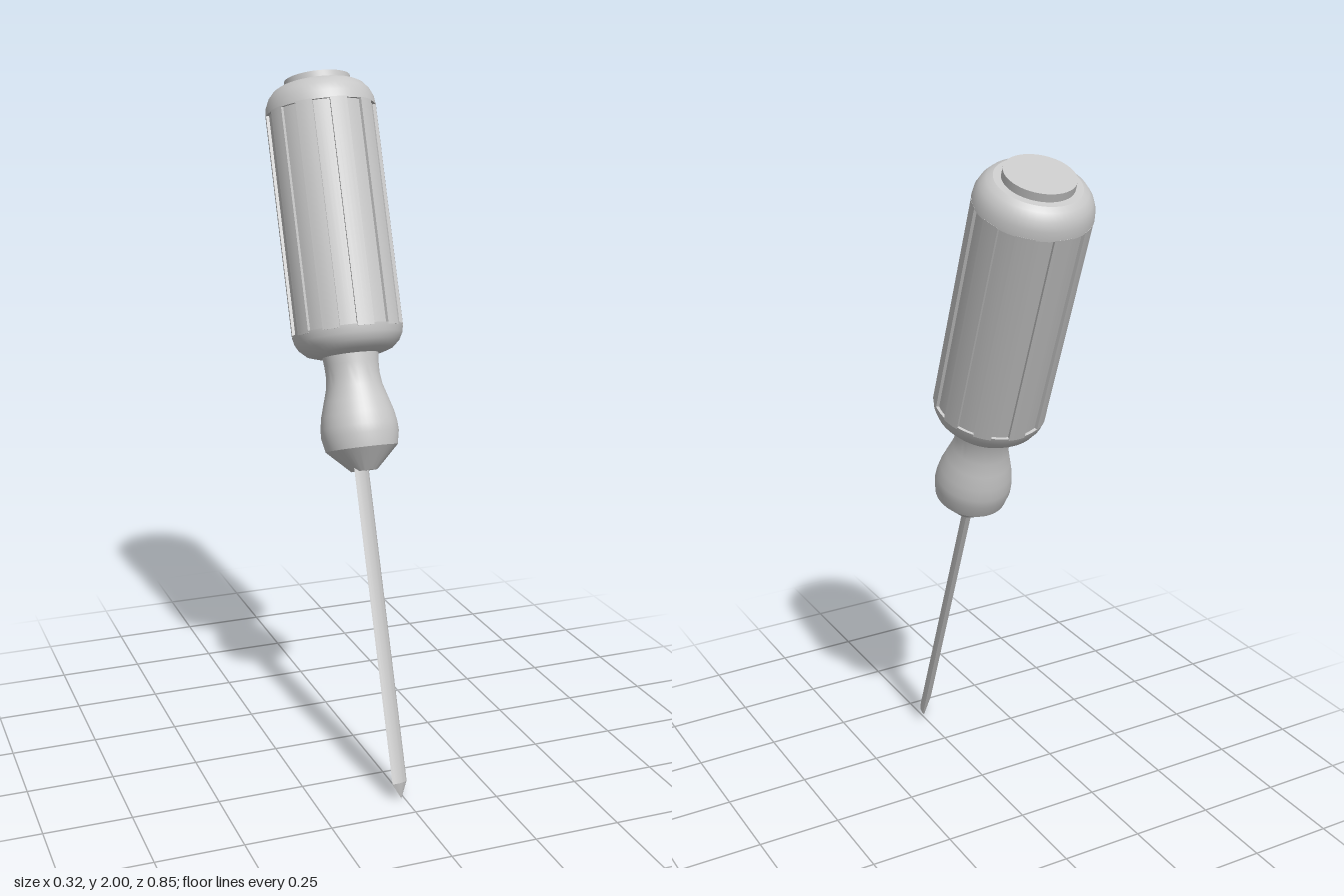
import * as THREE from 'three';
import { toCreasedNormals } from 'three/addons/utils/BufferGeometryUtils.js';

const grey = new THREE.MeshStandardMaterial({ color: 0xc8c8c8 });
grey.name = 'plain grey';

// All parts hang down the tool's axis; depth is measured from the butt of the handle.
function addPart(parent, name, geometry, crease = 0.5) {
  const mesh = new THREE.Mesh(toCreasedNormals(geometry, crease), grey);
  mesh.name = name;
  parent.add(mesh);
}

// Turned part from [radius, depth] pairs listed from top to bottom
function turned(profile) {
  const points = profile.map(([r, d]) => new THREE.Vector2(r, -d)).reverse();
  return new THREE.LatheGeometry(points, 48);
}

// Prism from [x, z] points between two depths
function prism(points, top, bottom) {
  const shape = new THREE.Shape(points.map(([x, z]) => new THREE.Vector2(x, z)));
  const geo = new THREE.ExtrudeGeometry(shape, { depth: bottom - top, bevelEnabled: false });
  return geo.rotateX(Math.PI / 2).translate(0, -top, 0);
}

// Grip section: ten ridges alternating with ten shallow grooves
function gripSection(ridge, groove) {
  const points = [];
  for (let i = 0; i < 20; i++) {
    const r = i % 2 ? groove : ridge;
    for (let k = 0; k <= 4; k++) {
      const a = THREE.MathUtils.degToRad(i * 18 - 9 + k * 4.5);
      points.push([r * Math.sin(a), r * Math.cos(a)]);
    }
  }
  return points;
}

// Blade section: flat back, gently rounded face, turned 45 degrees
function bladeSection(halfWidth, rise) {
  const R = (halfWidth ** 2 + rise ** 2) / (2 * rise);
  const sweep = Math.asin(halfWidth / R);
  const points = [];
  for (let i = 0; i <= 12; i++) {
    const a = sweep * (i / 6 - 1);
    const across = R * Math.sin(a);
    const out = R * Math.cos(a) - (R - rise);
    points.push([-0.011 + (across + out) * Math.SQRT1_2, -0.001 + (out - across) * Math.SQRT1_2]);
  }
  return points;
}

// Pointed end closing a section down to one apex
function point(section, top, bottom) {
  const apex = [-0.009, -bottom, 0.001];
  const verts = section.flatMap(([x, z], i) => {
    const [nx, nz] = section[(i + 1) % section.length];
    return [nx, -top, nz, x, -top, z, ...apex];
  });
  const geo = new THREE.BufferGeometry();
  geo.setAttribute('position', new THREE.Float32BufferAttribute(verts, 3));
  geo.computeVertexNormals();
  return geo;
}

export function createModel() {
  const model = new THREE.Group();
  model.name = 'handTool';
  const tool = new THREE.Group();
  tool.name = 'tiltedTool';
  tool.position.set(0, 1.965, -0.3);
  tool.rotation.x = THREE.MathUtils.degToRad(-20);
  model.add(tool);

  // Handle
  addPart(tool, 'buttCap', turned([[0, 0], [0.097, 0], [0.097, 0.03]]));
  addPart(tool, 'handleTop', turned([
    [0, 0.023], [0.118, 0.023], [0.134, 0.032], [0.149, 0.05], [0.159, 0.073], [0.162, 0.098], [0, 0.098],
  ]));
  addPart(tool, 'grip', prism(gripSection(0.162, 0.153), 0.095, 0.748));
  addPart(tool, 'handleBottom', turned([
    [0, 0.742], [0.162, 0.742], [0.158, 0.765], [0.147, 0.785], [0.125, 0.805], [0.098, 0.814], [0, 0.816],
  ]));

  // Neck swelling into the bolster
  addPart(tool, 'bolster', turned([
    [0.083, 0.8], [0.079, 0.84], [0.078, 0.87], [0.082, 0.905], [0.094, 0.945], [0.106, 0.985],
    [0.112, 1.02], [0.113, 1.045], [0.105, 1.085], [0.038, 1.15], [0, 1.15],
  ]));

  // Blade
  const section = bladeSection(0.041, 0.021);
  addPart(tool, 'blade', prism(section, 1.12, 2.042));
  addPart(tool, 'bladeTip', point(section, 2.042, 2.09));

  return model;
}
